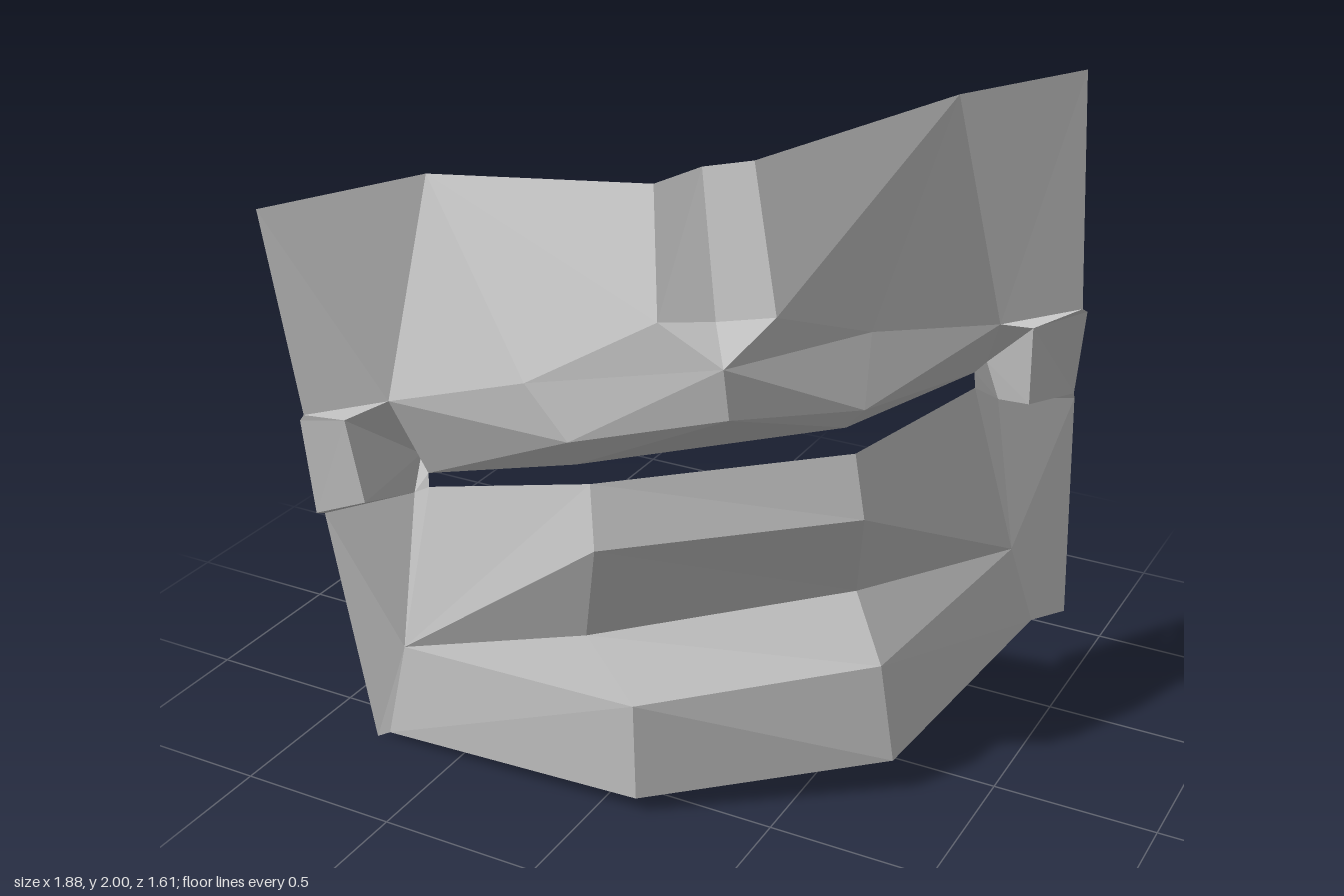
import * as THREE from 'three';

// Paired landmarks: [minus-x point, plus-x point]
const pairs = {
  // upper skin
  topOuter:   [[-0.94, 1.75, 0.81], [0.885, 2.0, -0.745]],
  topCrease:  [[-0.565, 1.83, 0.535], [0.615, 1.97, -0.425]],
  rimTop:     [[0.12, 1.89, 0.48], [0.32, 1.93, 0.29]],
  rimLow:     [[0.20, 1.56, 0.61], [0.45, 1.55, 0.41]],
  panelLow:   [[-0.645, 1.18, 0.665], [0.75, 1.26, -0.51]],
  upperOuter: [[-0.885, 1.12, 0.75], [0.935, 1.27, -0.72]],
  // upper lip
  peak:       [[-0.16, 1.35, 0.705], [0.56, 1.39, 0.02]],
  crest:      [[-0.03, 1.20, 0.70], [0.61, 1.22, 0.17]],
  slit:       [[-0.05, 1.10, 0.63], [0.55, 1.15, 0.16]],
  cornerUp:   [[-0.59, 0.925, 0.57], [0.67, 1.08, -0.53]],
  cornerLow:  [[-0.59, 0.88, 0.57], [0.675, 1.03, -0.53]],
  // raised blocks and the recess between them and the mouth
  upperInner: [[-0.64, 0.96, 0.53], [0.69, 1.10, -0.58]],
  lowerInner: [[-0.655, 0.84, 0.555], [0.73, 0.98, -0.59]],
  bumpInTop:  [[-0.76, 1.12, 0.725], [0.84, 1.25, -0.55]],
  bumpInLow:  [[-0.72, 0.86, 0.71], [0.835, 0.99, -0.575]],
  bumpOutTop: [[-0.90, 1.10, 0.75], [0.94, 1.25, -0.755]],
  bumpOutLow: [[-0.88, 0.80, 0.735], [0.915, 0.97, -0.765]],
  // lower lip and chin
  lowerOuter: [[-0.87, 0.79, 0.71], [0.915, 0.95, -0.775]],
  lipTop:     [[0.01, 1.065, 0.655], [0.61, 1.11, 0.225]],
  lipLow:     [[0.04, 0.88, 0.69], [0.65, 0.92, 0.24]],
  under:      [[-0.06, 0.53, 0.58], [0.57, 0.60, 0.09]],
  chinCrest:  [[0.12, 0.37, 0.63], [0.69, 0.42, 0.17]],
  bottom:     [[0.12, 0.05, 0.62], [0.74, 0.11, 0.17]],
  chinSide:   [[-0.68, 0.34, 0.62], [0.79, 0.45, -0.64]],
  bottomSide: [[-0.75, 0.02, 0.63], [0.85, 0.17, -0.71]],
  bottomOuter:[[-0.79, 0.0, 0.64], [0.93, 0.18, -0.80]],
};

// Landmarks on the centre line
const centre = {
  grooveTop: [0.20, 1.915, 0.36],
  grooveLow: [0.31, 1.54, 0.49],
  apex:      [0.38, 1.45, 0.58],
  lipFront:  [0.39, 1.30, 0.565],
  slitMid:   [0.25, 1.125, 0.395],
};

// Facets of one half, repeated on both sides of the centre line
const halves = {
  upperSkin: [
    ['rimLow', 'topCrease', 'rimTop'],
    ['rimLow', 'peak', 'topCrease'],
    ['peak', 'panelLow', 'topCrease'],
  ],
  upperCheek: [['panelLow', 'upperOuter', 'topOuter', 'topCrease']],
  lipGroove: [
    ['grooveTop', 'grooveLow', 'rimLow', 'rimTop'],
    ['grooveLow', 'apex', 'rimLow'],
  ],
  upperLip: [
    ['apex', 'lipFront', 'crest', 'peak'],
    ['apex', 'peak', 'rimLow'],
    ['lipFront', 'slitMid', 'slit', 'crest'],
    ['crest', 'slit', 'cornerUp'],
    ['crest', 'cornerUp', 'panelLow'],
    ['peak', 'crest', 'panelLow'],
  ],
  mouthCorner: [
    ['panelLow', 'cornerUp', 'upperInner'],
    ['panelLow', 'upperInner', 'bumpInTop'],
    ['cornerUp', 'cornerLow', 'lowerInner', 'upperInner'],
    ['upperInner', 'lowerInner', 'bumpInLow', 'bumpInTop'],
    ['bumpInTop', 'bumpInLow', 'bumpOutLow', 'bumpOutTop'],
    ['bumpInTop', 'bumpOutTop', 'upperOuter', 'panelLow'],
    ['lowerInner', 'lowerOuter', 'bumpOutLow', 'bumpInLow'],
  ],
  lowerCheek: [
    ['lowerInner', 'chinSide', 'lowerOuter'],
    ['chinSide', 'bottomOuter', 'lowerOuter'],
    ['chinSide', 'bottomSide', 'bottomOuter'],
  ],
  lowerLipSide: [
    ['cornerLow', 'chinSide', 'lowerInner'],
    ['lipTop', 'chinSide', 'cornerLow'],
    ['lipTop', 'lipLow', 'chinSide'],
    ['lipLow', 'under', 'chinSide'],
  ],
  chinSide: [
    ['under', 'chinCrest', 'chinSide'],
    ['chinCrest', 'bottom', 'bottomSide', 'chinSide'],
  ],
};

// Bands that run straight across the centre line, from top to bottom
const bands = {
  lowerLip: ['lipTop', 'lipLow', 'under'],
  chin: ['under', 'chinCrest', 'bottom'],
};

const material = new THREE.MeshStandardMaterial({
  color: 0xcccccc, flatShading: true, side: THREE.DoubleSide,
});

// Fan each polygon into triangles
function facetMesh(name, polygons) {
  const positions = [];
  for (const p of polygons) {
    for (let i = 1; i < p.length - 1; i++) positions.push(...p[0], ...p[i], ...p[i + 1]);
  }
  const geometry = new THREE.BufferGeometry();
  geometry.setAttribute('position', new THREE.Float32BufferAttribute(positions, 3));
  geometry.computeVertexNormals();
  const mesh = new THREE.Mesh(geometry, material);
  mesh.name = name;
  return mesh;
}

export function createModel() {
  const model = new THREE.Group();
  model.name = 'mouthPanel';

  // Paired parts; the mirrored half swaps winding but keeps the same fan corner
  for (const [name, polygons] of Object.entries(halves)) {
    for (const side of [0, 1]) {
      const placed = polygons.map((polygon) => {
        const p = polygon.map((key) => centre[key] || pairs[key][side]);
        return side ? p : [p[0], ...p.slice(1).reverse()];
      });
      model.add(facetMesh(name + (side ? 'Left' : 'Right'), placed));
    }
  }

  // Central bands
  for (const [name, rows] of Object.entries(bands)) {
    const quads = rows.slice(1).map((row, i) => {
      const [a, b] = pairs[rows[i]];
      const [c, d] = pairs[row];
      return [a, c, d, b];
    });
    model.add(facetMesh(name, quads));
  }
  return model;
}
